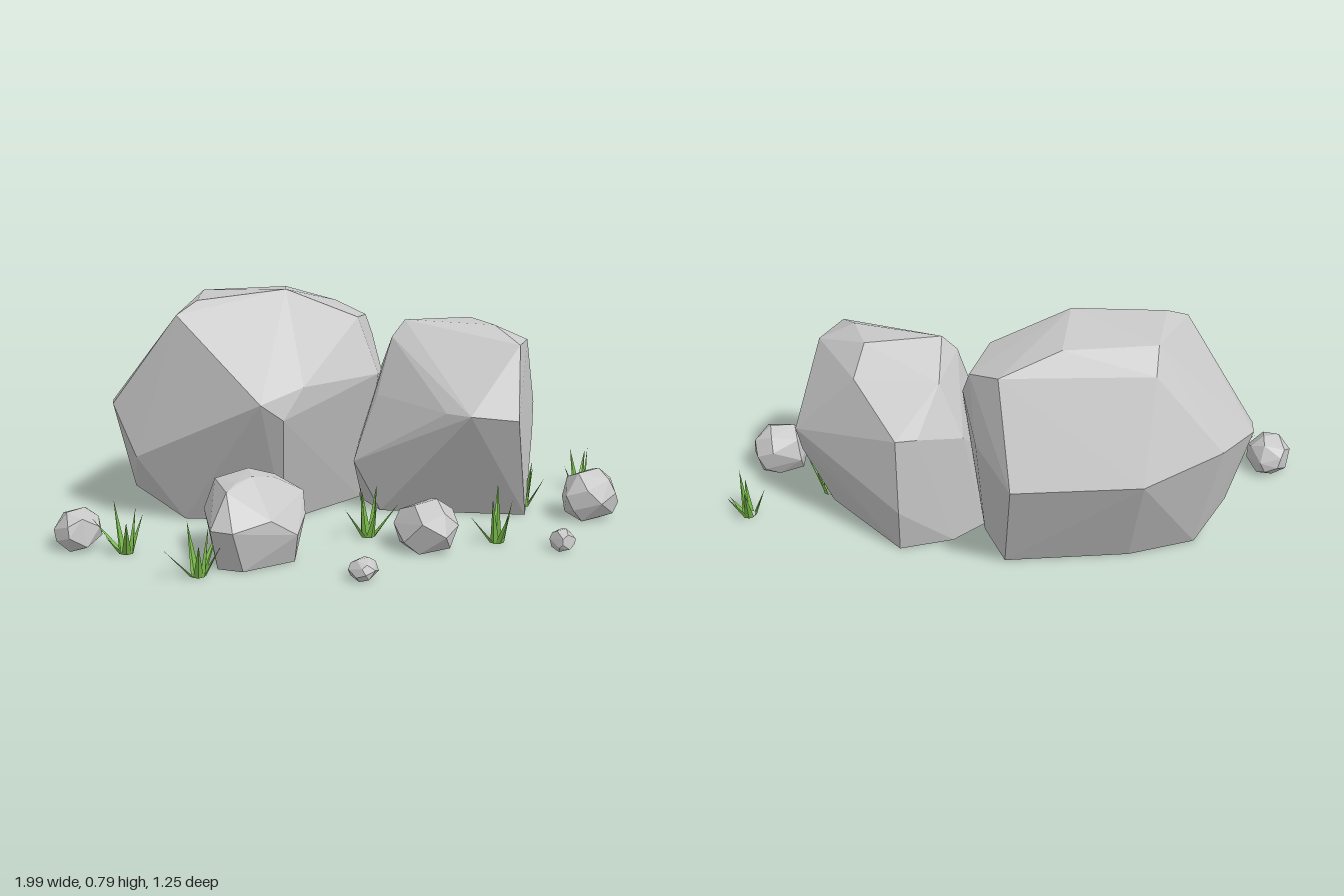
import * as THREE from 'three';
import { ConvexGeometry } from 'three/addons/geometries/ConvexGeometry.js';

const stone = new THREE.MeshStandardMaterial({ color: 0xc9c9c9, flatShading: true });
stone.name = 'stone';
const grass = new THREE.MeshStandardMaterial({ color: 0x7dc04c, flatShading: true, side: THREE.DoubleSide });
grass.name = 'grass';

function seeded(seed) {
  let s = seed;
  return () => (s = (s * 16807) % 2147483647) / 2147483647;
}

// A faceted rock wrapped around a few corner points
function rock(name, corners) {
  const mesh = new THREE.Mesh(new ConvexGeometry(corners.map(p => new THREE.Vector3(...p))), stone);
  mesh.name = name;
  return mesh;
}

// A small rounded stone filling a box, with a flattened underside
function pebble(name, x, z, w, h, d, seed) {
  const rnd = seeded(seed), pts = [], n = 22;
  for (let i = 0; i < n; i++) {
    const v = 1 - 2 * (i + 0.5) / n, a = i * 2.4 + rnd() * 0.9, r = Math.sqrt(1 - v * v);
    pts.push(new THREE.Vector3(r * Math.cos(a), Math.max(v, -0.75), r * Math.sin(a)));
  }
  const box = new THREE.Box3().setFromPoints(pts);
  const size = box.getSize(new THREE.Vector3()), mid = box.getCenter(new THREE.Vector3());
  return rock(name, pts.map(p => [
    x + (p.x - mid.x) / size.x * w,
    (p.y - box.min.y) / size.y * h,
    z + (p.z - mid.z) / size.z * d]));
}

// A tuft of broad creased blades, one for each tip given as [x, height, z] from its centre
function tuft(x, z, tips) {
  const pos = [];
  for (const tip of tips) {
    const a = Math.atan2(tip[2], tip[0]);
    const at = (r, side) => [Math.cos(a) * r - Math.sin(a) * side, 0, Math.sin(a) * r + Math.cos(a) * side];
    const left = at(0.016, -0.016), right = at(0.016, 0.016), crease = at(0.025, 0);
    pos.push(...[left, tip, crease, crease, tip, right].flat());
  }
  const geo = new THREE.BufferGeometry();
  geo.setAttribute('position', new THREE.Float32BufferAttribute(pos, 3));
  geo.computeVertexNormals();
  const mesh = new THREE.Mesh(geo, grass);
  mesh.name = 'grassTuft';
  mesh.position.set(x, 0, z);
  return mesh;
}

export function createModel() {
  const group = new THREE.Group();
  group.name = 'rocksAndGrass';

  group.add(rock('largeBoulder', [
    // crown
    [-0.16, 0.79, -0.18], [-0.47, 0.765, -0.18], [0.1, 0.68, -0.18], [0.18, 0.66, -0.34],
    [-0.4, 0.765, -0.41], [-0.1, 0.765, -0.41], [0.1, 0.7, -0.45], [-0.38, 0.7, -0.49], [-0.55, 0.725, -0.14],
    // waist
    [-0.17, 0.5, 0.08], [-0.33, 0.46, 0.13], [-0.25, 0.4, 0.12], [0.15, 0.49, -0.1],
    [0.2, 0.59, -0.32], [0.19, 0.48, -0.18], [0.17, 0.45, -0.42], [0.08, 0.38, -0.6],
    [-0.33, 0.39, -0.63], [-0.6, 0.43, -0.52], [-0.74, 0.4, -0.36], [-0.75, 0.4, -0.3],
    // foot
    [-0.69, 0.23, -0.2], [-0.68, 0.1, -0.3], [-0.53, 0, -0.18], [-0.56, 0, -0.39], [-0.33, 0, -0.44],
    [0.08, 0, -0.43], [0.13, 0, -0.25], [0, 0, -0.19], [-0.21, 0, -0.05]]));

  group.add(rock('mediumBoulder', [
    // crown
    [0.25, 0.675, -0.11], [0.5, 0.67, -0.12], [0.53, 0.665, 0.03], [0.2, 0.62, -0.1],
    [0.57, 0.615, 0.16], [0.65, 0.61, 0.04], [0.54, 0.59, -0.21], [0.27, 0.58, -0.25],
    // waist
    [0.52, 0.38, 0.28], [0.36, 0.4, 0.25], [0.3, 0.4, 0.18], [0.14, 0.42, -0.08],
    [0.745, 0.35, -0.1], [0.73, 0.25, -0.07], [0.42, 0.44, -0.365], [0.35, 0.44, -0.36],
    [0.2, 0.4, -0.3], [0.42, 0.17, -0.37], [0.06, 0.18, -0.1],
    // foot
    [0.15, 0, -0.07], [0.13, 0, -0.22], [0.24, 0, -0.3], [0.42, 0, -0.33], [0.64, 0, -0.02], [0.62, 0, 0.13]]));

  group.add(rock('smallBoulder', [
    // crown
    [-0.5, 0.25, 0.37], [-0.46, 0.265, 0.33], [-0.4, 0.275, 0.3], [-0.39, 0.275, 0.2],
    [-0.5, 0.25, 0.2], [-0.32, 0.255, 0.26], [-0.3, 0.245, 0.19], [-0.22, 0.2, 0.25],
    // waist
    [-0.56, 0.14, 0.4], [-0.5, 0.14, 0.45], [-0.37, 0.16, 0.42], [-0.28, 0.1, 0.4],
    [-0.23, 0.14, 0.31], [-0.24, 0.12, 0.17], [-0.45, 0.16, 0.12], [-0.53, 0.14, 0.16],
    // foot
    [-0.53, 0, 0.36], [-0.46, 0, 0.41], [-0.28, 0, 0.36], [-0.26, 0, 0.23], [-0.4, 0, 0.17], [-0.5, 0, 0.2]]));

  // Loose stones: x, z, width, height, depth
  [[-0.922, 0.015, 0.155, 0.135, 0.16],
   [0.167, 0.365, 0.21, 0.165, 0.225],
   [0.823, 0.218, 0.2, 0.175, 0.18],
   [-0.118, 0.575, 0.1, 0.068, 0.1],
   [0.583, 0.505, 0.078, 0.07, 0.078],
  ].forEach((s, i) => group.add(pebble('looseStone', ...s, 71 + i * 913)));

  // Grass tufts around the rocks
  group.add(
    tuft(-0.78, 0.12, [[-0.1, 0.11, -0.05], [0.06, 0.12, -0.02], [-0.01, 0.13, 0.09],
      [-0.03, 0.17, -0.04], [0.03, 0.16, 0.03], [-0.07, 0.07, 0.02]]),
    tuft(-0.6, 0.4, [[-0.11, 0.1, 0.02], [0.08, 0.13, -0.06], [-0.01, 0.12, 0.07],
      [-0.02, 0.16, -0.06], [0.03, 0.17, 0.03], [0.07, 0.09, 0.01]]),
    tuft(0.02, 0.19, [[-0.09, 0.11, 0.03], [0.1, 0.11, 0.02], [0, 0.14, -0.07],
      [0.01, 0.12, 0.06], [-0.03, 0.18, 0.01], [0.04, 0.17, -0.03]]),
    tuft(0.41, 0.37, [[-0.1, 0.1, 0.01], [0.05, 0.12, 0], [0.03, 0.18, -0.07],
      [0.01, 0.12, 0.08], [-0.03, 0.16, 0.03], [0.04, 0.15, 0.03]]),
    tuft(0.93, -0.08, [[0.06, 0.13, -0.08], [-0.06, 0.1, 0], [0, 0.14, -0.08],
      [0.01, 0.1, 0.07], [0.06, 0.07, 0.01], [0.02, 0.17, 0.02]]),
    tuft(0.65, 0.03, [[0.07, 0.11, 0.04], [0.05, 0.13, -0.02], [0.01, 0.18, 0.06],
      [0.03, 0.16, 0.01], [-0.05, 0.1, 0.03], [-0.03, 0.12, -0.04]]));

  return group;
}
